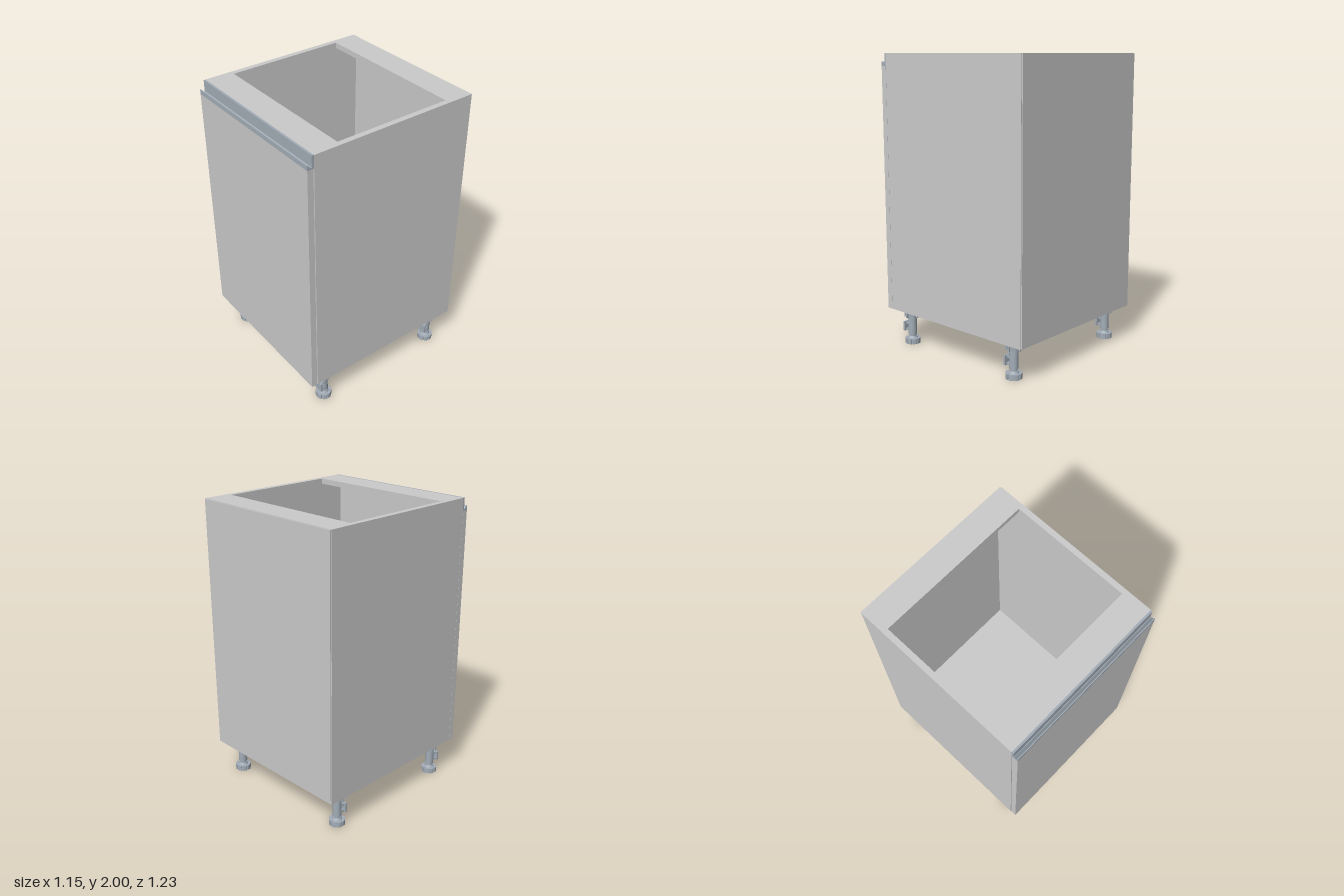
import * as THREE from 'three';

const grey = new THREE.MeshStandardMaterial({ color: 0xcccccc });
const metal = new THREE.MeshStandardMaterial({ color: 0xa3adb7 });

function add(parent, name, geometry, material, x = 0, y = 0, z = 0) {
  const mesh = new THREE.Mesh(geometry, material);
  mesh.name = name;
  mesh.position.set(x, y, z);
  parent.add(mesh);
  return mesh;
}

// Box given by its lower and upper limits on each axis
function panel(parent, name, [x0, x1], [y0, y1], [z0, z1], material = grey) {
  return add(parent, name, new THREE.BoxGeometry(x1 - x0, y1 - y0, z1 - z0), material,
    (x0 + x1) / 2, (y0 + y1) / 2, (z0 + z1) / 2);
}

// Cylinder standing between two heights
function post(parent, name, r0, r1, y0, y1, sides = 24) {
  return add(parent, name, new THREE.CylinderGeometry(r1, r0, y1 - y0, sides), metal, 0, (y0 + y1) / 2, 0);
}

function createLeg() {
  const leg = new THREE.Group();
  leg.name = 'adjustableLeg';

  // Foot disc with notches cut around its rim
  const rim = new THREE.Shape();
  const notches = 8;
  for (let i = 0; i < notches; i++) {
    const a = (i / notches) * Math.PI * 2;
    const step = (Math.PI * 2) / notches;
    for (const [t, r] of [[0, 0.053], [0.28, 0.054], [0.56, 0.054], [0.84, 0.053], [0.85, 0.045], [0.99, 0.045]]) {
      const x = r * Math.cos(a + t * step), y = r * Math.sin(a + t * step);
      if (i === 0 && t === 0) rim.moveTo(x, y);
      else rim.lineTo(x, y);
    }
  }
  rim.closePath();
  const footGeometry = new THREE.ExtrudeGeometry(rim, { depth: 0.036, bevelEnabled: false });
  footGeometry.rotateX(-Math.PI / 2);
  add(leg, 'foot', footGeometry, metal);

  // Stem and sleeve
  post(leg, 'footNeck', 0.034, 0.026, 0.036, 0.05);
  post(leg, 'stem', 0.023, 0.023, 0.05, 0.2);
  post(leg, 'sleeve', 0.03, 0.03, 0.065, 0.175);
  post(leg, 'sleeveFlange', 0.034, 0.034, 0.175, 0.19);

  // Socket under the cabinet with upright ribs
  post(leg, 'socket', 0.042, 0.046, 0.185, 0.24);
  post(leg, 'socketPlate', 0.057, 0.057, 0.222, 0.24);
  for (let i = 0; i < 8; i++) {
    const a = (i / 8) * Math.PI * 2;
    const rib = add(leg, 'socketRib', new THREE.BoxGeometry(0.018, 0.036, 0.012), metal,
      Math.cos(a) * 0.046, 0.205, Math.sin(a) * 0.046);
    rib.rotation.y = -a;
  }

  // Plinth clip facing forward
  panel(leg, 'clipPlate', [-0.042, 0.042], [0.085, 0.15], [0.036, 0.05], metal);
  for (const y of [0.09, 0.135]) panel(leg, 'clipArm', [-0.03, 0.03], [y, y + 0.012], [0, 0.04], metal);
  return leg;
}

export function createModel() {
  const model = new THREE.Group();
  model.name = 'baseCabinet';
  const W = 0.577, T = 0.037, Y0 = 0.24, Y1 = 2, ZB = -0.61, ZF = 0.572;

  // Carcass
  const carcass = new THREE.Group();
  carcass.name = 'carcass';
  model.add(carcass);
  for (const s of [-1, 1]) {
    panel(carcass, s > 0 ? 'leftSide' : 'rightSide',
      s > 0 ? [W - T, W] : [-W, -W + T], [Y0, Y1], [ZB, ZF]);
  }
  const inner = [-W + T, W - T];
  panel(carcass, 'bottomPanel', inner, [Y0, Y0 + T], [ZB, ZF]);
  panel(carcass, 'frontTopRail', inner, [Y1 - T, Y1], [0.387, ZF]);
  panel(carcass, 'backTopRail', inner, [Y1 - T, Y1], [ZB, -0.428]);
  panel(carcass, 'backPanel', [-0.572, 0.572], [Y0 + 0.003, Y1 - 0.003], [-0.617, ZB]);

  // Door
  panel(model, 'door', [-0.575, 0.575], [Y0, 1.915], [0.576, 0.617]);

  // Grip rail along the top of the door, an upright with a sloped lip in front
  const profile = new THREE.Shape([
    [0.572, 1.915], [0.617, 1.915], [0.617, 1.945], [0.611, 1.945],
    [0.59, 1.922], [0.586, 1.926], [0.586, 2], [0.572, 2],
  ].map(([z, y]) => new THREE.Vector2(-z, y)));
  const gripGeometry = new THREE.ExtrudeGeometry(profile, { depth: 1.15, bevelEnabled: false });
  gripGeometry.translate(0, 0, -0.575);
  gripGeometry.rotateY(Math.PI / 2);
  add(model, 'gripRail', gripGeometry, metal);

  // Four legs
  for (const x of [-0.49, 0.49]) {
    for (const z of [0.463, -0.481]) {
      const leg = createLeg();
      leg.position.set(x, 0, z);
      model.add(leg);
    }
  }
  return model;
}
